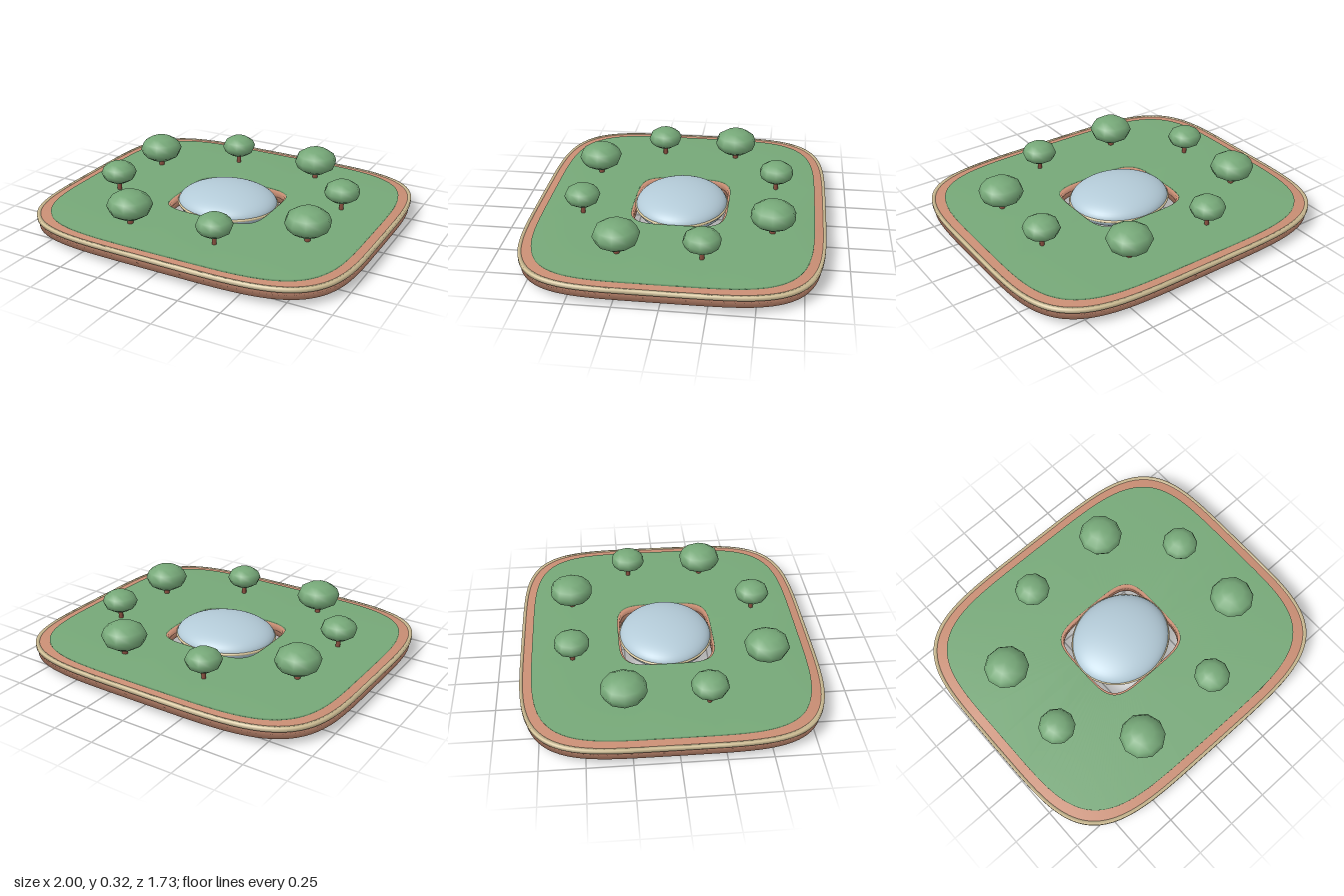
import * as THREE from 'three';

const mat = (name, color, extra = {}) => {
  const m = new THREE.MeshStandardMaterial({ color, ...extra });
  m.name = name;
  return m;
};
const terracotta = mat('terracotta', 0xc98e74);
const cream = mat('cream', 0xd9c79c);
const green = mat('leaf green', 0x76a878);
const glass = mat('pale blue glass', 0xb4cbd8);
const bark = mat('bark brown', 0x8a5040);

// Point on a rounded-square (superellipse) outline
const POWER = 4.5;
const bend = (v) => Math.sign(v) * Math.abs(v) ** (2 / POWER);

// Ring swept around the outline; profile points are [half width, half depth, y],
// running inner top, outer top, outer bottom, inner bottom
function ringSolid(profile, segments = 128) {
  const positions = [];
  const index = [];
  const n = profile.length;
  for (let i = 0; i < segments; i++) {
    const t = (i / segments) * Math.PI * 2;
    for (const [a, b, y] of profile) positions.push(a * bend(Math.cos(t)), y, b * bend(Math.sin(t)));
    for (let j = 0; j < n; j++) {
      const i2 = (i + 1) % segments;
      const j2 = (j + 1) % n;
      const p = i * n + j, q = i * n + j2, r = i2 * n + j, s = i2 * n + j2;
      index.push(p, r, q, q, r, s);
    }
  }
  const g = new THREE.BufferGeometry();
  g.setAttribute('position', new THREE.Float32BufferAttribute(positions, 3));
  g.setIndex(index);
  g.computeVertexNormals();
  return g;
}

const slab = (inner, outer, bottom, top) => ringSolid([
  [...inner, top], [...outer, top], [...outer, bottom], [...inner, bottom],
]);

export function createModel() {
  const model = new THREE.Group();
  model.name = 'gardenRoofBuilding';
  const add = (name, geometry, material, parent = model) => {
    const mesh = new THREE.Mesh(geometry, material);
    mesh.name = name;
    parent.add(mesh);
    return mesh;
  };

  // Building body, edge band and planted roof
  add('body', slab([0.3, 0.272], [0.99, 0.856], 0.045, 0.113), terracotta);
  add('edgeBand', slab([0.982, 0.848], [1, 0.866], 0.092, 0.115), cream);
  add('roofGarden', slab([0.312, 0.284], [0.93, 0.8], 0.108, 0.125), green);

  // Central dome with its rim
  const dome = add('dome', new THREE.SphereGeometry(1, 48, 32), glass);
  dome.scale.set(0.306, 0.105, 0.274);
  dome.position.y = 0.11;
  const rim = add('domeRim', new THREE.TorusGeometry(0.304, 0.008, 8, 64).rotateX(Math.PI / 2), cream);
  rim.scale.z = 0.9;
  rim.position.y = 0.11;

  // Trees, repeated point-symmetrically: [x, z, canopy radius, canopy half height]
  const canopy = new THREE.SphereGeometry(1, 10, 6);
  const trunk = new THREE.CylinderGeometry(1, 1, 0.1, 8);
  const trees = [
    [0.22, 0.56, 0.106, 0.068],
    [0.65, 0.28, 0.133, 0.084],
    [0.66, -0.19, 0.108, 0.068],
    [0.33, -0.56, 0.133, 0.084],
  ];
  for (const side of [1, -1]) {
    for (const [x, z, r, h] of trees) {
      const tree = new THREE.Group();
      tree.name = 'tree';
      tree.position.set(x * side, 0, z * side);
      const crown = add('canopy', canopy, green, tree);
      crown.scale.set(r, h, r);
      crown.position.y = 0.24;
      const stem = add('trunk', trunk, bark, tree);
      stem.scale.set(r * 0.13, 1, r * 0.13);
      stem.position.y = 0.17;
      model.add(tree);
    }
  }
  return model;
}
